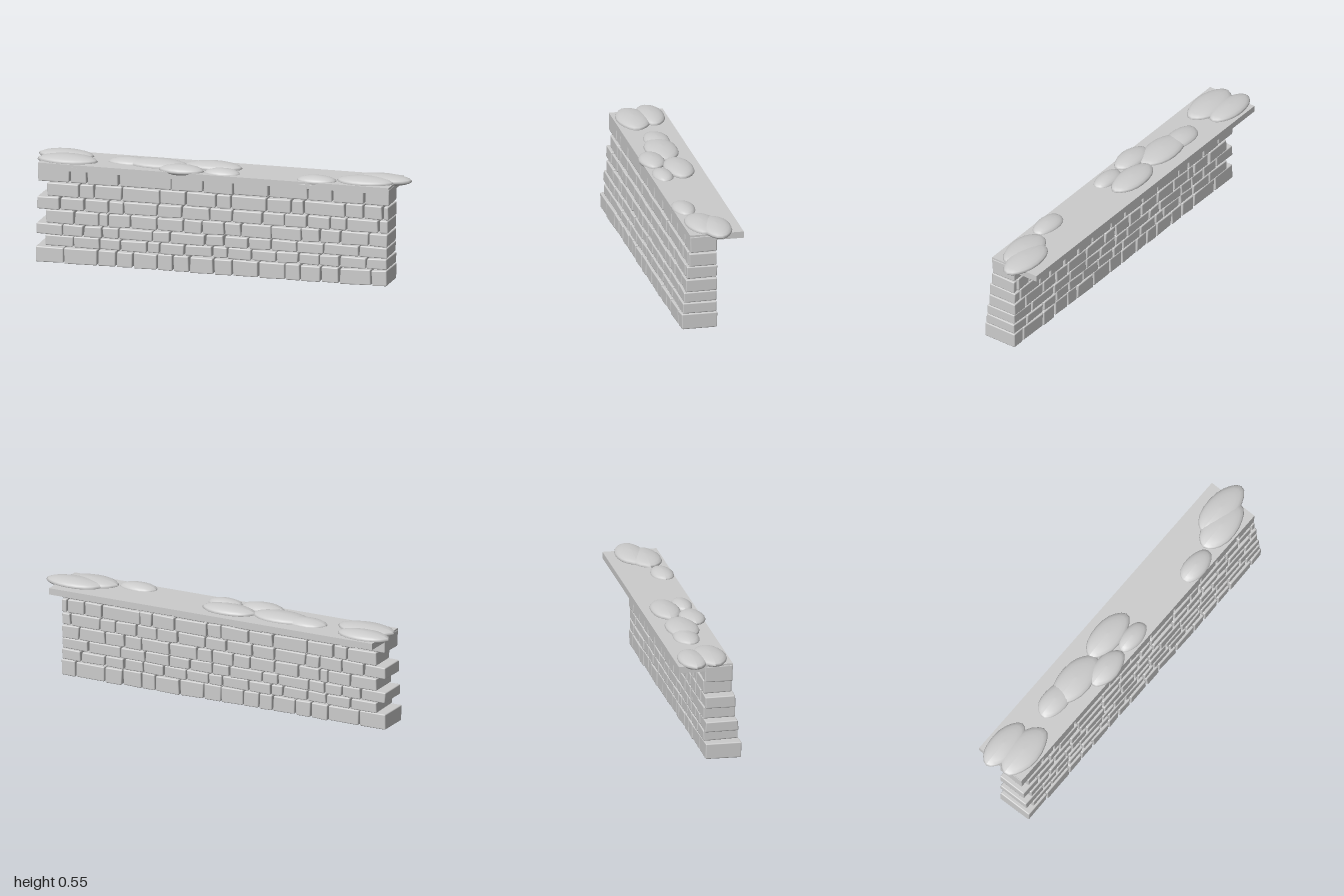
import * as THREE from 'three';
import { RoundedBoxGeometry } from 'three/addons/geometries/RoundedBoxGeometry.js';

const stone = new THREE.MeshStandardMaterial({ color: 0xcccccc });
stone.name = 'pale grey';

// Seeded random value in -1..1
let seed = 7;
function jitter() {
  seed = (seed * 16807) % 2147483647;
  return (seed / 2147483647) * 2 - 1;
}

// Courses from the bottom up: [bottom, top, front z, x of each joint in hundredths]
const BACK = -0.025;
const courses = [
  [0.004, 0.086, 0.162, [-95, -80, -62, -52, -43, -30, -22, -13, 0, 10, 24, 38, 46, 57, 67, 84, 92]],
  [0.09, 0.145, 0.153, [-90, -75, -61, -50, -36, -29, -16, -1, 7, 20, 33, 45, 56, 67, 81, 92]],
  [0.148, 0.204, 0.146, [-95, -81, -70, -60, -51, -33, -24, -5, 5, 18, 30, 44, 58, 77, 92]],
  [0.207, 0.274, 0.139, [-90, -75, -62, -57, -45, -31, -17, -7, 5, 14, 30, 46, 56, 67, 82, 92]],
  [0.277, 0.341, 0.131, [-95, -83, -70, -57, -49, -31, -18, -3, 9, 25, 37, 49, 61, 70, 87, 92]],
  [0.345, 0.415, 0.122, [-90, -73, -65, -50, -30, -16, 0, 8, 27, 40, 47, 69, 79, 89, 92]],
  [0.419, 0.506, 0.115, [-95, -78, -69, -52, -24, -7, 9, 28, 49, 62, 79, 92]],
];

// Rounded block whose eight corners are nudged a little
function makeBlock(w, h, d) {
  const geo = new RoundedBoxGeometry(w, h, d, 2, 0.006);
  const corners = Array.from({ length: 8 }, () => [jitter() * 0.003, jitter() * 0.0028, jitter() * 0.003]);
  const p = geo.attributes.position;
  for (let i = 0; i < p.count; i++) {
    const v = [p.getX(i), p.getY(i), p.getZ(i)];
    const t = [v[0] / w + 0.5, v[1] / h + 0.5, v[2] / d + 0.5];
    corners.forEach((c, n) => {
      const weight = (n & 1 ? t[0] : 1 - t[0]) * (n & 2 ? t[1] : 1 - t[1]) * (n & 4 ? t[2] : 1 - t[2]);
      for (let k = 0; k < 3; k++) v[k] += c[k] * weight;
    });
    p.setXYZ(i, ...v);
  }
  return geo;
}

// Flattened mounds on the coping: [x, z, half width, half depth, height of centre]
const mounds = [
  [-0.855, -0.078, 0.145, 0.072, 0.517],
  [-0.818, 0.022, 0.158, 0.084, 0.517],
  [-0.5, -0.032, 0.117, 0.068, 0.512],
  [-0.35, -0.022, 0.16, 0.084, 0.516],
  [-0.06, -0.048, 0.15, 0.075, 0.518],
  [-0.2, 0.062, 0.118, 0.066, 0.516],
  [0.015, 0.054, 0.097, 0.054, 0.511],
  [0.52, 0.06, 0.106, 0.06, 0.512],
  [0.84, -0.036, 0.158, 0.08, 0.519],
  [0.77, 0.024, 0.15, 0.082, 0.517],
];

function makeMound(rx, rz) {
  const geo = new THREE.SphereGeometry(1, 20, 10);
  const p = geo.attributes.position;
  const phase = jitter() * 3;
  for (let i = 0; i < p.count; i++) {
    const x = p.getX(i), y = p.getY(i), z = p.getZ(i);
    const wobble = 1 + 0.035 * Math.sin(3 * x + phase) * Math.cos(4 * z + phase);
    p.setXYZ(i, x * rx * wobble, y * 0.028, z * rz * wobble);
  }
  geo.computeVertexNormals();
  return geo;
}

export function createModel() {
  const model = new THREE.Group();
  model.name = 'stoneWall';

  // Courses of separate blocks, stepping back towards the top
  courses.forEach(([y0, y1, front, joints], row) => {
    const course = new THREE.Group();
    course.name = 'course' + (row + 1);
    for (let i = 0; i < joints.length - 1; i++) {
      const x0 = joints[i] / 100 + (i ? 0.004 : 0);
      const x1 = joints[i + 1] / 100 - (i < joints.length - 2 ? 0.004 : 0);
      const block = new THREE.Mesh(makeBlock(x1 - x0, y1 - y0, front - BACK), stone);
      block.name = 'block';
      block.position.set((x0 + x1) / 2, (y0 + y1) / 2, (front + BACK) / 2);
      course.add(block);
    }
    model.add(course);
  });

  // Coping slab overhanging the back
  const slab = new THREE.Mesh(new THREE.BoxGeometry(1.87, 0.034, 0.282), stone);
  slab.name = 'copingSlab';
  slab.position.set(-0.015, 0.497, -0.024);
  model.add(slab);

  // Soft mounds lying on the slab
  for (const [x, z, rx, rz, y] of mounds) {
    const mound = new THREE.Mesh(makeMound(rx, rz), stone);
    mound.name = 'mound';
    mound.position.set(x, y, z);
    model.add(mound);
  }
  return model;
}
